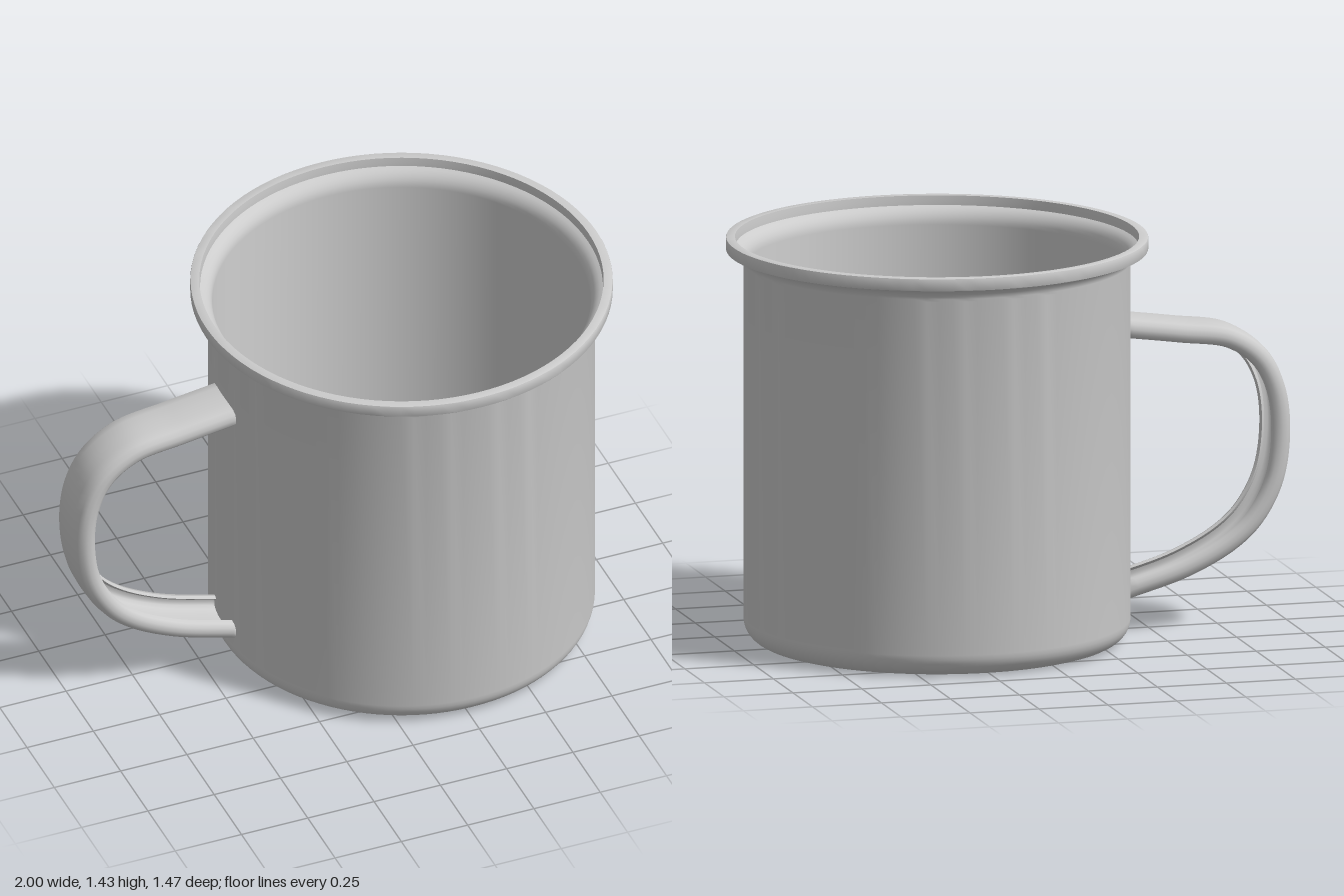
import * as THREE from 'three';
import { toCreasedNormals } from 'three/addons/utils/BufferGeometryUtils.js';

const CUP_X = 0.265;

// Points of a quarter-round corner, from angle a0 to a1 (degrees)
function arc(cx, cy, r, a0, a1, n = 8) {
  return Array.from({ length: n + 1 }, (_, i) => {
    const a = THREE.MathUtils.degToRad(a0 + ((a1 - a0) * i) / n);
    return [cx + r * Math.cos(a), cy + r * Math.sin(a)];
  });
}

// Thin-walled cup: outside from the base up, over the rim, down the inside
function cupGeometry() {
  const profile = [
    [0, 0],
    ...arc(0.595, 0.08, 0.08, -90, 0),
    ...arc(0.725, 1.34, 0.05, 180, 115, 6),
    [0.708, 1.39],
    ...arc(0.733, 1.394, 0.004, -90, 0, 2),
    ...arc(0.733, 1.431, 0.004, 0, 90, 2),
    [0.705, 1.435],
    [0.703, 1.415],
    ...arc(0.725, 1.34, 0.065, 110, 180, 6),
    ...arc(0.595, 0.08, 0.065, 0, -90),
    [0, 0.015],
  ].map(([x, y]) => new THREE.Vector2(x, y));
  return toCreasedNormals(new THREE.LatheGeometry(profile, 96), 0.7);
}

// Handle: a folded sheet-metal channel, open towards the cup, swept along a curve
function handleGeometry() {
  const path = new THREE.CatmullRomCurve3([
    [-0.4, 1.126], [-0.6, 1.098], [-0.79, 1.066], [-0.91, 0.985], [-0.975, 0.87],
    [-1, 0.71], [-0.975, 0.51], [-0.9, 0.365], [-0.805, 0.275], [-0.635, 0.185], [-0.4, 0.112],
  ].map(([x, y]) => new THREE.Vector3(x, y, 0)), false, 'centripetal');

  // Half cross-section as [sideways, depth towards the cup]
  const half = [
    [0, 0], [0.05, 0.002], [0.085, 0.009], [0.1, 0.022], [0.105, 0.04], [0.103, 0.058],
    [0.092, 0.071], [0.075, 0.075], [0.068, 0.068], [0.075, 0.06], [0.086, 0.055],
    [0.089, 0.042], [0.086, 0.03], [0.073, 0.022], [0.045, 0.017], [0, 0.015],
  ];
  const section = [...half, ...half.slice(1, -1).reverse().map(([z, d]) => [-z, d])];

  const steps = 72, n = section.length;
  const positions = [], index = [];
  for (let i = 0; i <= steps; i++) {
    const p = path.getPointAt(i / steps), t = path.getTangentAt(i / steps);
    for (const [z, d] of section) {
      // The ends are trimmed inside the cup wall
      positions.push(Math.min(p.x - t.y * d, -0.4), p.y + t.x * d, z);
    }
  }
  // Inward normal is the tangent turned left
  for (let i = 0; i < steps; i++) {
    for (let j = 0; j < n; j++) {
      const a = i * n + j, b = i * n + ((j + 1) % n);
      index.push(a, a + n, b, b, a + n, b + n);
    }
  }
  const geometry = new THREE.BufferGeometry();
  geometry.setAttribute('position', new THREE.Float32BufferAttribute(positions, 3));
  geometry.setIndex(index);
  return toCreasedNormals(geometry, 0.9);
}

export function createModel() {
  const group = new THREE.Group();
  group.name = 'mug';
  const material = new THREE.MeshStandardMaterial({ color: 0xcccccc });

  const cup = new THREE.Mesh(cupGeometry(), material);
  cup.name = 'cup';
  cup.position.x = CUP_X;

  const handle = new THREE.Mesh(handleGeometry(), material.clone());
  handle.material.side = THREE.DoubleSide;
  handle.name = 'handle';

  group.add(cup, handle);
  return group;
}
